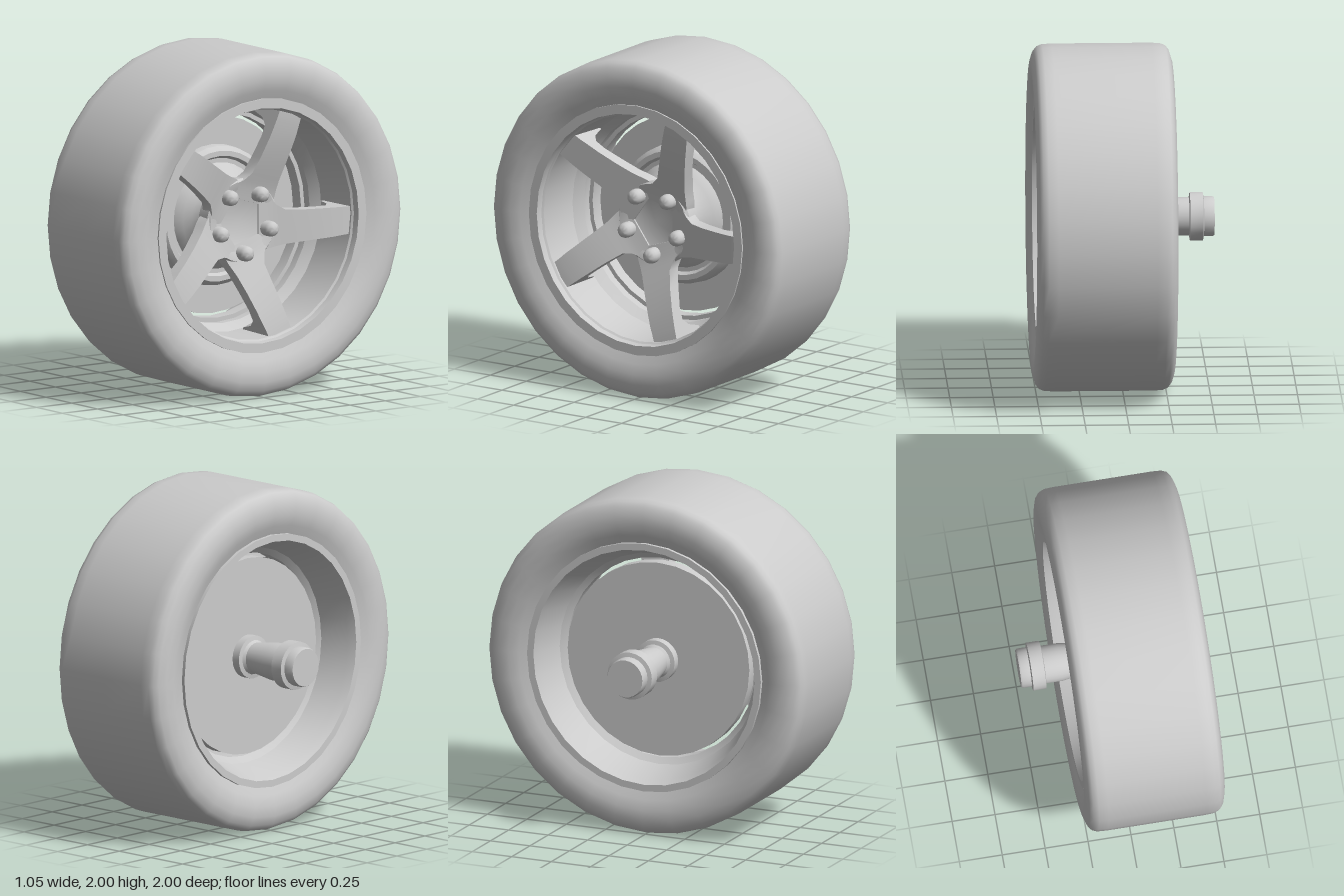
import * as THREE from 'three';
import { toCreasedNormals } from 'three/addons/utils/BufferGeometryUtils.js';

const material = new THREE.MeshStandardMaterial({ color: 0xcccccc });

function addMesh(parent, name, geometry, crease = 0.7) {
  const mesh = new THREE.Mesh(toCreasedNormals(geometry, crease), material);
  mesh.name = name;
  parent.add(mesh);
  return mesh;
}

// Solid of revolution about the x axle; profile points are [radius, x]
function turned(profile, segments = 32) {
  const points = profile.map(([r, x]) => new THREE.Vector2(r, x));
  return new THREE.LatheGeometry(points, segments).rotateZ(-Math.PI / 2);
}

// Box-like loft running outwards; sections are [radius, top, bottom, front, back]
function spokeGeometry(sections) {
  const positions = [];
  const index = [];
  for (const [u, top, bottom, front, back] of sections) {
    positions.push(front, top, -u, front, bottom, -u, back, bottom, -u, back, top, -u);
  }
  for (let i = 0; i < sections.length - 1; i++) {
    for (let j = 0; j < 4; j++) {
      const a = i * 4 + j;
      const b = i * 4 + (j + 1) % 4;
      index.push(a, b, b + 4, a, b + 4, a + 4);
    }
  }
  const e = (sections.length - 1) * 4;
  index.push(e, e + 1, e + 2, e, e + 2, e + 3, 0, 2, 1, 0, 3, 2);
  const geometry = new THREE.BufferGeometry();
  geometry.setAttribute('position', new THREE.Float32BufferAttribute(positions, 3));
  geometry.setIndex(index);
  return geometry;
}

export function createModel() {
  const model = new THREE.Group();
  model.name = 'wheel';
  const wheel = new THREE.Group();
  wheel.name = 'wheelAssembly';
  wheel.position.y = 1;
  model.add(wheel);

  // Tyre with rounded shoulders and bulging sidewalls
  addMesh(wheel, 'tyre', turned([
    [0.71, -0.24], [0.74, -0.25], [0.79, -0.275], [0.85, -0.29], [0.91, -0.29], [0.96, -0.275],
    [0.985, -0.255], [0.997, -0.225], [1, -0.17], [1, 0.12], [1, 0.40],
    [0.997, 0.455], [0.985, 0.485], [0.96, 0.505], [0.91, 0.52], [0.85, 0.52],
    [0.79, 0.505], [0.74, 0.48], [0.71, 0.47], [0.71, -0.24],
  ]));

  // Rim barrel: lips at both ends, narrowest beside the brake disc
  addMesh(wheel, 'rim', turned([
    [0.70, -0.27], [0.74, -0.27], [0.74, -0.2], [0.72, 0.1], [0.74, 0.44], [0.74, 0.49],
    [0.685, 0.49], [0.68, 0.45], [0.67, 0.44], [0.66, 0.16], [0.62, 0.10], [0.62, 0.05],
    [0.595, 0.05], [0.595, -0.03], [0.63, -0.06], [0.68, -0.22], [0.70, -0.27],
  ]), 0.5);

  // Brake disc with its raised, grooved hat
  addMesh(wheel, 'brakeDisc', turned([
    [0, -0.07], [0.575, -0.07], [0.575, 0], [0.41, 0], [0.405, 0.05], [0.38, 0.075],
    [0.35, 0.075], [0.335, 0.05], [0.31, 0.05], [0.28, 0.1], [0.24, 0.13], [0.22, 0.2], [0, 0.2],
  ]));

  // Axle stub with inner collar, flare and outer flange
  addMesh(wheel, 'axle', turned([
    [0, -0.53], [0.11, -0.53], [0.115, -0.52], [0.115, -0.47], [0.14, -0.465], [0.14, -0.39],
    [0.11, -0.385], [0.11, -0.29], [0.088, -0.14], [0.1, -0.125], [0.125, -0.12],
    [0.125, -0.07], [0, -0.07],
  ], 24));

  // Dished centre of the wheel
  addMesh(wheel, 'hub', turned([
    [0, 0.18], [0.22, 0.18], [0.245, 0.2], [0.25, 0.29], [0.235, 0.305],
    [0.19, 0.295], [0.15, 0.275], [0, 0.275],
  ]));

  // Five dished spokes, each with a foot turned back along the rim
  const spoke = spokeGeometry([
    [0.12, 0.13, -0.18, 0.285, 0.2],
    [0.19, 0.125, -0.175, 0.30, 0.215],
    [0.23, 0.075, -0.165, 0.312, 0.225],
    [0.28, 0.045, -0.155, 0.33, 0.245],
    [0.38, 0.04, -0.145, 0.365, 0.28],
    [0.5, 0.04, -0.135, 0.40, 0.32],
    [0.57, 0.04, -0.13, 0.415, 0.325],
    [0.61, 0.04, -0.125, 0.422, 0.28],
    [0.635, 0.04, -0.123, 0.426, 0.19],
    [0.67, 0.04, -0.12, 0.43, 0.17],
  ]);

  // Domed bolt, standing on the hub
  const bolt = turned([
    [0, 0.26], [0.045, 0.26], [0.045, 0.335], [0.039, 0.355], [0.022, 0.368], [0, 0.372],
  ], 16);

  for (let i = 0; i < 5; i++) {
    const angle = (i * Math.PI * 2) / 5;
    addMesh(wheel, 'spoke', spoke, 0.6).rotation.x = angle;
    const fixing = addMesh(wheel, 'bolt', bolt);
    fixing.position.set(0, -0.185 * Math.cos(angle), -0.185 * Math.sin(angle));
  }
  return model;
}
